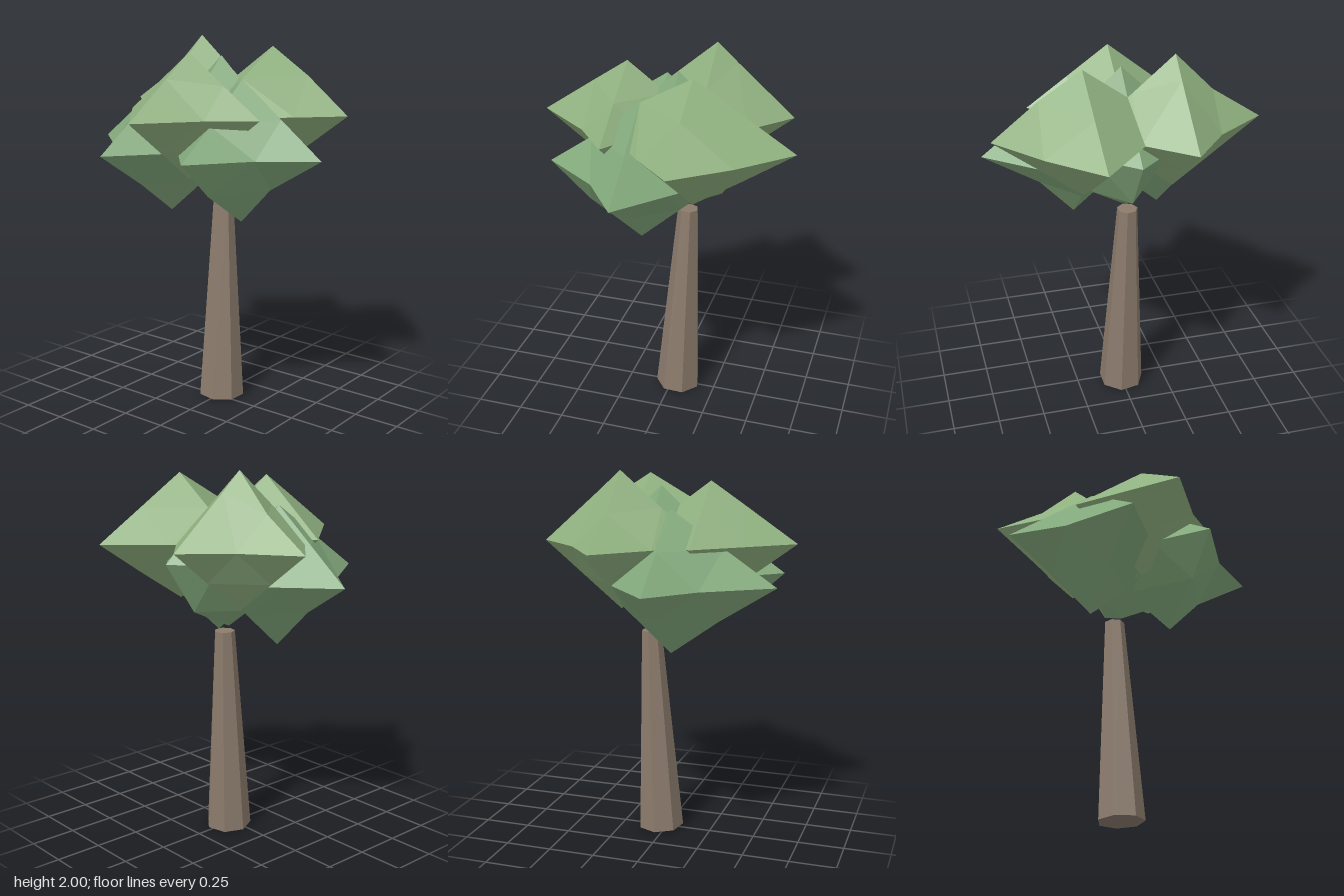
import * as THREE from 'three';

// Six-pointed leaf clump: an octahedron with each edge split once.
// reach = [+x, -x, +y, -y, +z, -z]; mids = bent edge midpoints, matched by the signs of their offset.
function clumpGeometry(reach, mids) {
  const tip = (axis, s) => new THREE.Vector3().setComponent(axis, s * reach[axis * 2 + (s < 0 ? 1 : 0)]);
  const middle = (a, b) => {
    const half = a.clone().add(b).multiplyScalar(0.5);
    const bent = mids.find(m => m.every((v, i) => Math.sign(v) === Math.sign(half.getComponent(i))));
    return bent ? new THREE.Vector3(...bent) : half;
  };
  const points = [];
  for (const sx of [1, -1]) for (const sy of [1, -1]) for (const sz of [1, -1]) {
    const a = tip(0, sx);
    let b = tip(1, sy), c = tip(2, sz);
    if (sx * sy * sz < 0) [b, c] = [c, b];
    const ab = middle(a, b), bc = middle(b, c), ca = middle(c, a);
    points.push(a, ab, ca, ab, b, bc, ca, bc, c, ab, bc, ca);
  }
  const geometry = new THREE.BufferGeometry().setFromPoints(points);
  geometry.computeVertexNormals();
  return geometry;
}

export function createModel() {
  const model = new THREE.Group();
  model.name = 'tree';
  const paint = color => new THREE.MeshStandardMaterial({ color, flatShading: true, roughness: 1 });
  const bark = paint(0x8b7b6c);
  const upperLeaves = paint(0x8fb07f);
  const lowerLeaves = paint(0x82a87b);

  // Leaning seven-sided trunk
  const trunk = new THREE.Mesh(new THREE.CylinderGeometry(0.055, 0.125, 1.13, 7).rotateY(Math.PI), bark);
  trunk.name = 'trunk';
  trunk.position.set(0.058, 0.572, -0.012);
  trunk.rotation.set(-0.02, 0, -0.04);
  model.add(trunk);

  // Leaf clumps: three above, two below, one in the core
  const clumps = [
    {
      name: 'upperFrontLeaves', at: [0.17, 1.63, 0.23], leaves: upperLeaves,
      reach: [0.52, 0.45, 0.33, 0.34, 0.46, 0.46],
      mids: [[0.27, 0, 0.25], [-0.27, 0.18, 0], [0, 0.19, 0.22], [-0.2, 0, 0.27], [0.25, -0.18, 0]],
    },
    {
      name: 'upperBackLeaves', at: [0.17, 1.63, -0.24], leaves: upperLeaves,
      reach: [0.42, 0.44, 0.37, 0.34, 0.44, 0.46],
      mids: [[0.19, 0, -0.19], [0, 0.17, -0.2], [0.11, 0.27, 0], [-0.24, 0, -0.22], [0.22, 0, 0.23]],
    },
    {
      name: 'upperRightLeaves', at: [-0.24, 1.63, 0], leaves: upperLeaves,
      reach: [0.42, 0.46, 0.31, 0.34, 0.44, 0.39],
      mids: [[-0.18, 0.19, 0], [-0.17, 0, 0.23], [0.16, 0, 0.2], [0.12, 0, -0.28]],
    },
    {
      name: 'lowerFrontLeaves', at: [-0.1, 1.44, 0.23], leaves: lowerLeaves,
      reach: [0.42, 0.49, 0.37, 0.37, 0.48, 0.44],
      mids: [[0, -0.18, 0.18], [-0.28, -0.19, 0], [-0.19, 0, 0.22], [-0.26, 0.16, 0]],
    },
    {
      name: 'lowerBackLeaves', at: [-0.1, 1.44, -0.24], leaves: lowerLeaves,
      reach: [0.42, 0.55, 0.37, 0.37, 0.44, 0.47],
      mids: [[-0.21, 0, -0.23], [0, -0.16, -0.22], [-0.25, -0.19, 0]],
    },
    {
      name: 'coreLeaves', at: [0.03, 1.53, 0], leaves: lowerLeaves,
      reach: [0.42, 0.42, 0.38, 0.38, 0.4, 0.4],
      mids: [[0.24, -0.27, 0], [0, -0.28, 0.19], [0, -0.27, -0.16], [-0.2, -0.22, 0], [0.24, 0, 0.2], [0.24, 0, -0.2]],
    },
  ];
  for (const { name, at, leaves, reach, mids } of clumps) {
    const clump = new THREE.Mesh(clumpGeometry(reach, mids), leaves);
    clump.name = name;
    clump.position.set(...at);
    model.add(clump);
  }
  return model;
}
